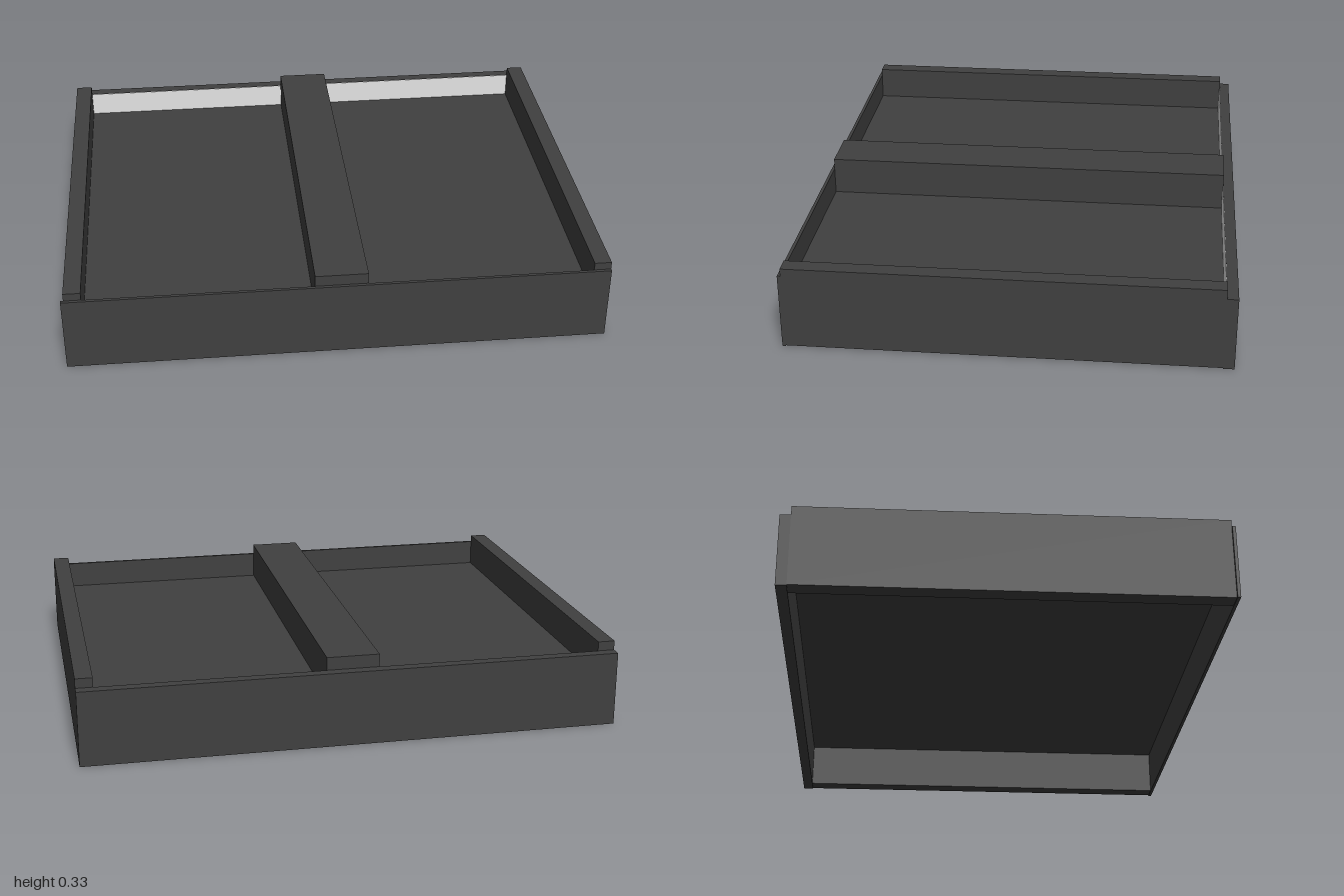
import * as THREE from 'three';

export function createModel() {
  const group = new THREE.Group();
  const dark = new THREE.MeshStandardMaterial({ color: 0x404040 });
  dark.name = 'charcoal';
  const light = new THREE.MeshStandardMaterial({ color: 0xe5e5e5 });
  light.name = 'pale grey';

  // Box given by its extents on each axis
  function board(name, [x0, x1], [y0, y1], [z0, z1], material = dark) {
    const mesh = new THREE.Mesh(new THREE.BoxGeometry(x1 - x0, y1 - y0, z1 - z0), material);
    mesh.position.set((x0 + x1) / 2, (y0 + y1) / 2, (z0 + z1) / 2);
    mesh.name = name;
    group.add(mesh);
  }

  const inner = [-0.767, 0.795]; // depth between front and back panels

  // Outer frame
  board('frontPanel', [-1, 1], [0, 0.286], [0.795, 0.807]);
  board('backPanel', [-0.99, 1], [0, 0.28], [-0.807, -0.767]);
  board('leftRail', [0.937, 1], [0.003, 0.315], inner);
  board('rightRail', [-0.99, -0.927], [0.003, 0.315], inner);

  // Raised floor and the beam running across it
  board('floor', [-0.927, 0.937], [0.18, 0.184], inner);
  board('centreBeam', [-0.09, 0.105], [0.184, 0.328], inner);

  // Pale facing on the inside of the back panel, above the floor, either side of the beam
  for (const [name, span] of [['rightFacing', [-0.927, -0.09]], ['leftFacing', [0.105, 0.937]]]) {
    board(name, span, [0.184, 0.279], [-0.767, -0.765], light);
  }

  return group;
}
